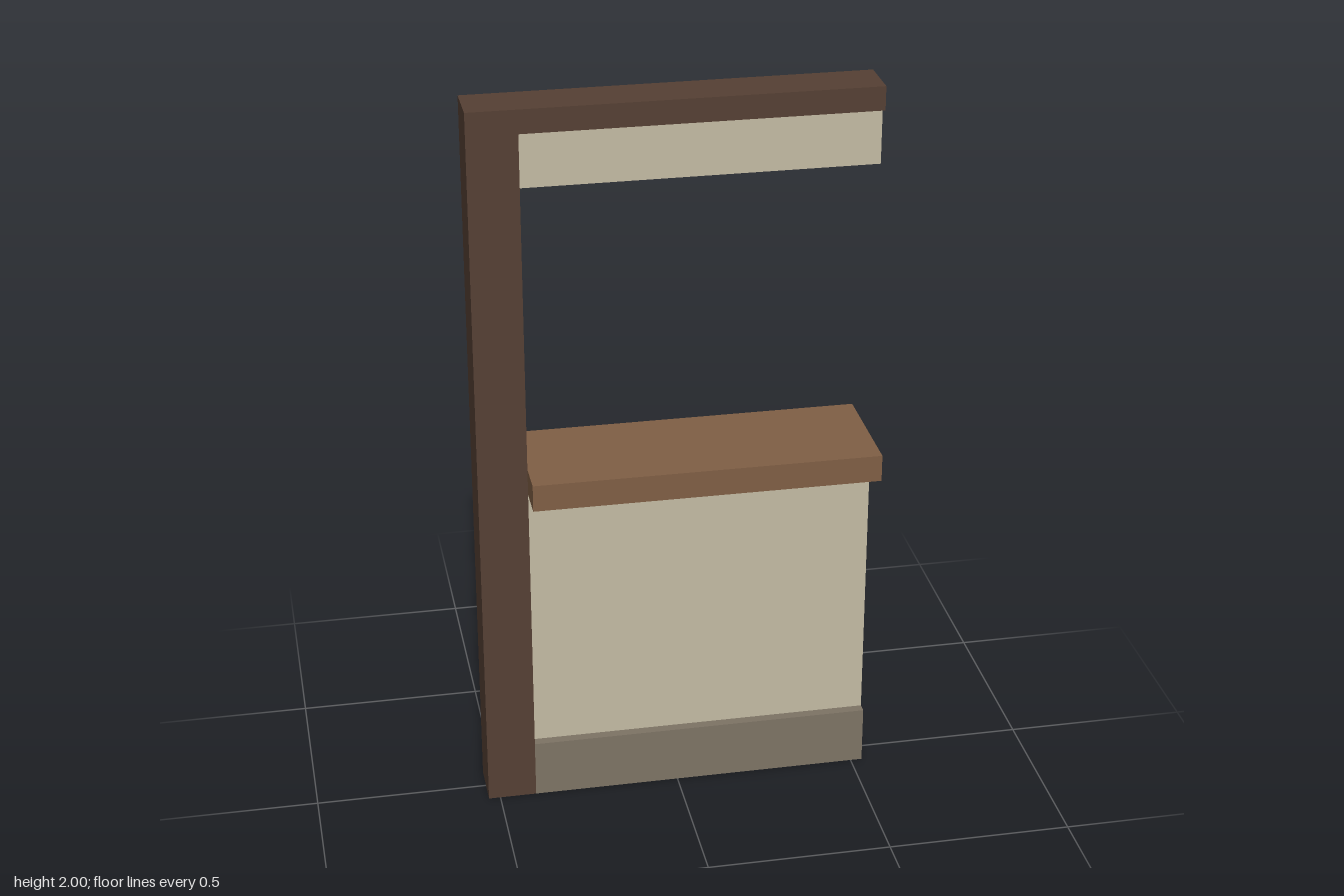
import * as THREE from 'three';

export function createModel() {
  const group = new THREE.Group();
  const material = (name, color) => {
    const m = new THREE.MeshStandardMaterial({ color });
    m.name = name;
    return m;
  };
  const darkWood = material('dark wood', 0x564034);
  const lightWood = material('light wood', 0x805f45);
  const plaster = material('plaster', 0xc4bca4);
  const stone = material('stone', 0x7e7465);

  // Box spanning x0..x1 and y0..y1, centred on z = 0
  const addBox = (name, mat, x0, x1, y0, y1, depth) => {
    const mesh = new THREE.Mesh(new THREE.BoxGeometry(x1 - x0, y1 - y0, depth), mat);
    mesh.position.set((x0 + x1) / 2, (y0 + y1) / 2, 0);
    mesh.name = name;
    group.add(mesh);
  };

  const inner = -0.4, end = 0.532;
  const frameDepth = 0.133, wallDepth = 0.08;

  // Timber frame
  addBox('post', darkWood, -end, inner, 0, 2, frameDepth);
  addBox('topBeam', darkWood, inner, end, 1.936, 2, frameDepth);

  // Wall below and above the opening
  addBox('plinth', stone, inner, end, 0, 0.162, frameDepth);
  addBox('lowerWall', plaster, inner, end, 0.162, 0.936, wallDepth);
  addBox('upperWall', plaster, inner, end, 1.784, 1.936, wallDepth);

  // Counter across the opening
  addBox('counter', lightWood, inner, end, 0.936, 1.01, 0.324);

  return group;
}
